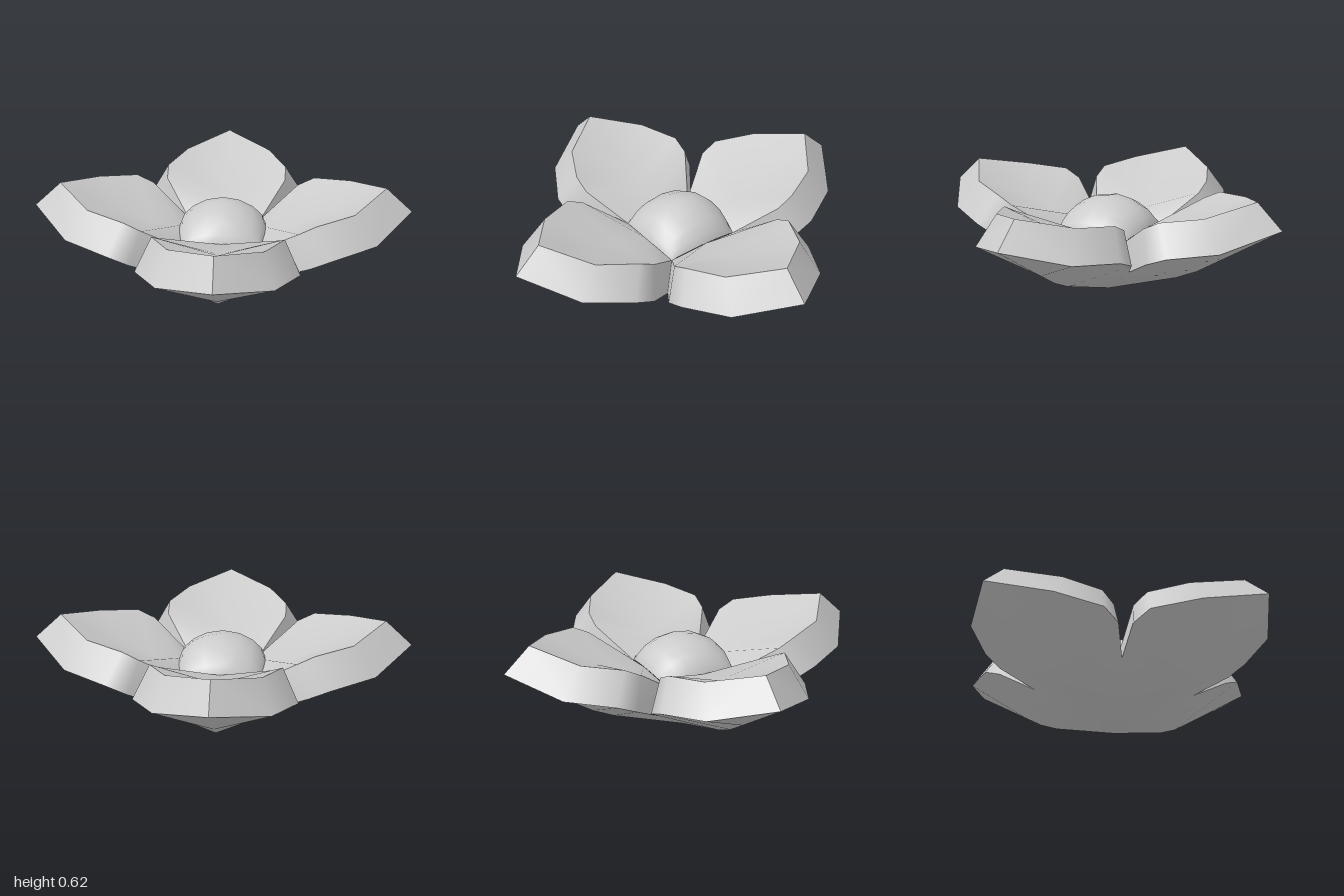
import * as THREE from 'three';
import { mergeGeometries, mergeVertices } from 'three/addons/utils/BufferGeometryUtils.js';

const material = new THREE.MeshStandardMaterial({ color: 0xcccccc });

// Stations along a petal: half width, edge (z, y), centre line (z, y)
const OUTER = [
  [0, 0, 0, 0, 0],
  [0.3, 0.3, 0.235, 0.41, 0.135],
  [0.41, 0.46, 0.335, 0.53, 0.19],
  [0.41, 0.57, 0.38, 0.65, 0.265],
  [0.285, 0.8, 0.41, 0.83, 0.378],
  [0, 1, 0.485, 1, 0.485],
];
const INNER = [
  [0.2, 0.2, 0.34, 0.23, 0.38],
  [0.33, 0.4, 0.49, 0.37, 0.39],
  [0.33, 0.49, 0.535, 0.5, 0.445],
  [0.235, 0.685, 0.56, 0.7, 0.537],
  [0, 0.86, 0.615, 0.86, 0.615],
];

// Right edge, centre line, left edge
const crossSection = ([w, ze, ye, zc, yc]) => [[-w, ye, ze], [0, yc, zc], [w, ye, ze]];

// Smooth surface through rows of points, with diagonals mirrored about the middle
function loft(rows, flip = false) {
  const n = rows[0].length;
  const index = [];
  for (let i = 0; i < rows.length - 1; i++) {
    for (let j = 0; j < n - 1; j++) {
      const a = i * n + j, b = a + n, c = b + 1, d = a + 1;
      const quad = j < (n - 1) / 2 ? [a, b, d, d, b, c] : [a, b, c, a, c, d];
      index.push(...(flip ? quad.reverse() : quad));
    }
  }
  const geometry = new THREE.BufferGeometry();
  geometry.setAttribute('position', new THREE.Float32BufferAttribute(rows.flat(2), 3));
  geometry.setIndex(index);
  const welded = mergeVertices(geometry, 1e-4);
  welded.computeVertexNormals();
  return welded;
}

function part(name, geometry) {
  const mesh = new THREE.Mesh(geometry, material);
  mesh.name = name;
  return mesh;
}

export function createModel() {
  const flower = new THREE.Group();
  flower.name = 'flower';

  // Shared surfaces of one petal
  const face = loft(INNER.map(crossSection));
  const edge = (stations, side) => stations.map(([w, z, y]) => [side * w, y, z]);
  const rims = [1, -1].map((side) =>
    loft([edge(OUTER.slice(1), side), edge(INNER, side)], side < 0));

  // Four petals around the centre
  for (let k = 0; k < 4; k++) {
    const petal = new THREE.Group();
    petal.name = 'petal';
    petal.add(part('petalFace', face), part('petalRimLeft', rims[0]), part('petalRimRight', rims[1]));
    petal.rotation.y = (k * Math.PI) / 2;
    flower.add(petal);
  }

  // Continuous underside, welded so it shades smoothly between petals
  const under = loft(OUTER.map(crossSection), true);
  under.deleteAttribute('normal');
  const quarters = [0, 1, 2, 3].map((k) => under.clone().rotateY((k * Math.PI) / 2));
  const underside = mergeVertices(mergeGeometries(quarters), 1e-4);
  underside.computeVertexNormals();
  flower.add(part('underside', underside));

  // Ball-like centre: bulging square outline, edges arched between the corners
  const steps = Array.from({ length: 9 }, (_, i) => Math.sin(((i / 4 - 1) * Math.PI) / 2));
  const bulge = (a, b) => a * (0.2 + 0.03 * (1 - b * b));
  const dome = steps.map((v) => steps.map((u) => {
    const p = 1 - u * u, q = 1 - v * v;
    return [bulge(u, v), 0.34 + 0.04 * (p + q) + 0.105 * Math.sqrt(Math.max(0, p * q)), bulge(v, u)];
  }));
  flower.add(part('centreDome', loft(dome)));

  return flower;
}
